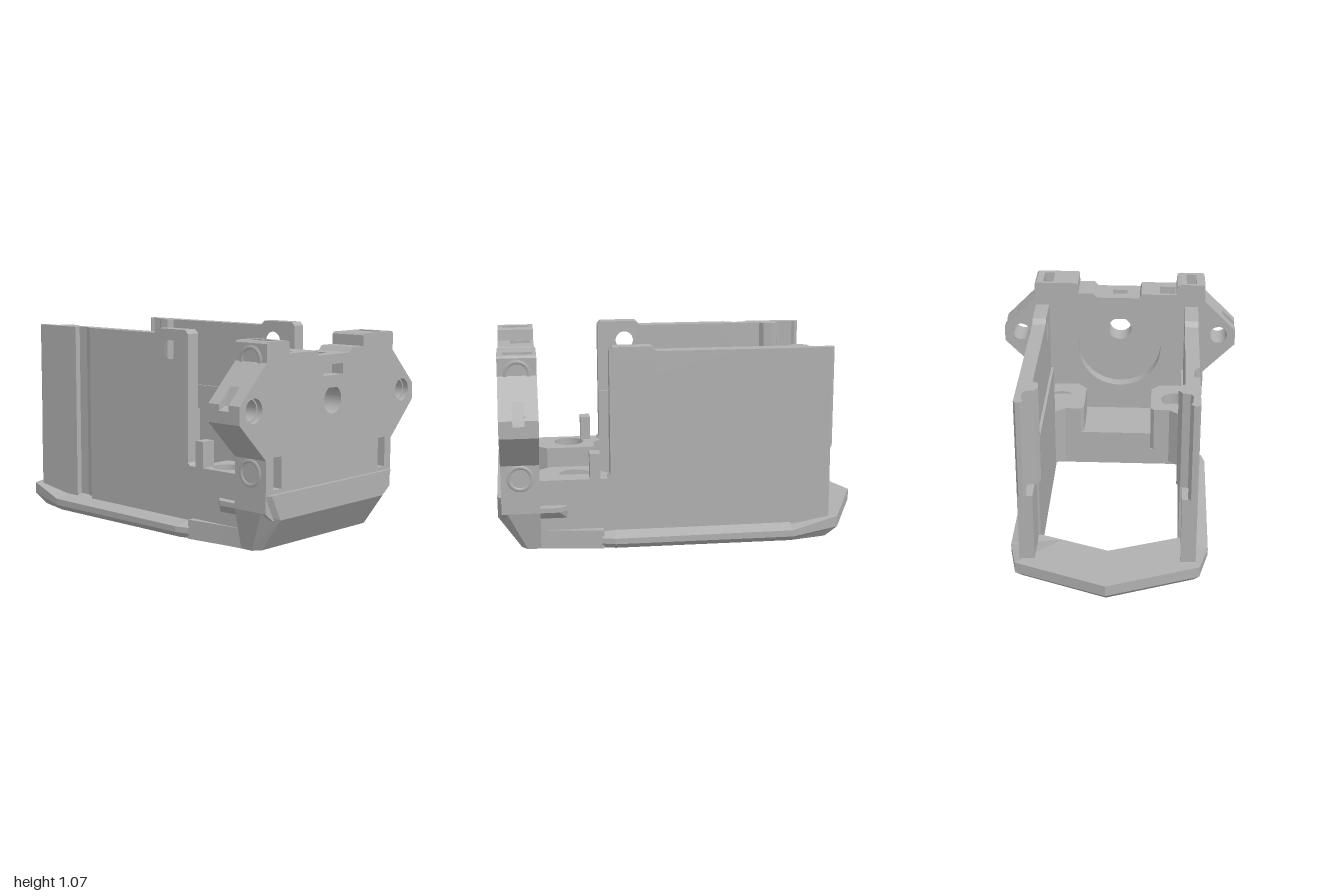
import * as THREE from 'three';
import { ConvexGeometry } from 'three/addons/geometries/ConvexGeometry.js';

const gray = new THREE.MeshStandardMaterial({ color: 0xb0b0b0 });
gray.name = 'plain gray';

const poly = (pts) => new THREE.Shape(pts.map(([x, y]) => new THREE.Vector2(x, y)));
const circle = (x, y, r) => new THREE.Path().absarc(x, y, r, 0, Math.PI * 2, true);
const rect = (x, y, w, h) => new THREE.Path(
  [[-1, -1], [-1, 1], [1, 1], [1, -1]].map(([a, b]) => new THREE.Vector2(x + a * w / 2, y + b * h / 2)));

function extrude(pts, holes, a, b) {
  const shape = poly(pts);
  shape.holes.push(...holes);
  const lo = Math.min(a, b);
  return new THREE.ExtrudeGeometry(shape, { depth: Math.abs(b - a), bevelEnabled: false, curveSegments: 28 })
    .translate(0, 0, lo);
}
// Extrude along x: points are [z, y]; holes use -z
const alongX = (pts, holes, a, b) => extrude(pts.map(([z, y]) => [-z, y]), holes, a, b).rotateY(Math.PI / 2);
// Extrude along y: points are [x, z]; holes use -z
const alongY = (pts, holes, a, b) => extrude(pts.map(([x, z]) => [x, -z]), holes, a, b).rotateX(-Math.PI / 2);
const hull = (pts) => new ConvexGeometry(pts.map((p) => new THREE.Vector3(...p)));

// U-shaped base rim lofted around the sides and pointed back
function baseRim() {
  // outer x, outer z, outer top y, chamfer y, bottom x, bottom z, inner x, inner bottom z, inner top z
  const half = [
    [0.51, 0.46, 0.06, 0.03, 0.48, 0.46, 0.37, 0.46, 0.46],
    [0.53, 0.39, 0.06, 0.03, 0.5, 0.39, 0.37, 0.39, 0.39],
    [0.53, -0.56, 0.065, 0.03, 0.5, -0.55, 0.37, -0.44, -0.54],
    [0.48, -0.81, 0.12, 0.06, 0.45, -0.75, 0.25, -0.49, -0.585],
    [0, -1, 0.12, 0.06, 0, -0.93, 0, -0.59, -0.68],
  ];
  const section = ([ox, oz, ty, cy, bx, bz, ix, ib, it], s) => [
    [s * ox, ty, oz], [s * ox, cy, oz], [s * bx, 0, bz], [s * ix, 0, ib], [s * ix, 0.12, it]];
  const rows = [...half.map((h) => section(h, 1)), ...half.slice(0, 4).reverse().map((h) => section(h, -1))];
  const pos = [];
  for (let i = 0; i < rows.length - 1; i++) {
    for (let j = 0; j < 5; j++) {
      const k = (j + 1) % 5;
      const [a, b, c, d] = [rows[i][j], rows[i + 1][j], rows[i][k], rows[i + 1][k]];
      pos.push(...a, ...c, ...b, ...b, ...c, ...d);
    }
  }
  const g = new THREE.BufferGeometry();
  g.setAttribute('position', new THREE.Float32BufferAttribute(pos, 3));
  g.computeVertexNormals();
  return g;
}

// Front plate outline with optional notches that form pockets across layers
function plateOutline({ pocket, tip, cavity, bore }) {
  const notch = (on, x0, x1, top, floor) => on ? [[x0, top], [x0, floor], [x1, floor], [x1, top]] : [];
  const wing = (s) => [[0.46, 0.17], [0.51, 0.21], [0.51, 0.47], [0.7, 0.66],
    ...(tip ? [[0.7, 0.72], [0.66, 0.74], [0.62, 0.83]] : [[0.7, 0.75]]),
    [0.51, 0.94]].map(([x, y]) => [s * x, y]);
  return [
    ...wing(1), [0.51, 1.03], [0.5, 1.04],
    ...notch(pocket, 0.46, 0.4, 1.04, 0.95),
    [0.26, 1.04], [0.25, 1.03], [0.25, 0.975], [0.16, 0.975], [0.135, 0.95],
    ...notch(bore, 0.045, -0.045, 0.95, 0.91),
    [-0.12, 0.95], [-0.13, 0.975],
    ...notch(cavity, -0.24, -0.335, 0.975, 0.8),
    [-0.34, 0.975], [-0.345, 1.035], [-0.37, 1.04],
    ...notch(pocket, -0.4, -0.46, 1.04, 0.95),
    [-0.5, 1.04], [-0.51, 1.03], ...wing(-1).reverse(),
  ];
}

// Round bore with a flattened top
function flatTopBore() {
  return new THREE.Path().absarc(0, 0.72, 0.07, Math.PI * 0.35, Math.PI * 0.65, true).closePath();
}

export function createModel() {
  const model = new THREE.Group();
  const add = (name, geometry, parent = model) => {
    const m = new THREE.Mesh(geometry, gray);
    m.name = name;
    parent.add(m);
    return m;
  };

  add('baseRim', baseRim());

  // Front floor with two screw holes
  add('frontFloor', alongY(
    [[-0.5, 0.45], [0.5, 0.45], [0.47, 0.68], [0.46, 0.8], [-0.46, 0.8], [-0.47, 0.68]],
    [circle(-0.345, -0.59, 0.045), circle(0.345, -0.59, 0.045)], 0, 0.1));
  add('centreFloor', new THREE.BoxGeometry(0.42, 0.12, 0.34).translate(0.01, 0.15, 0.62));

  // Sloped nose below the front plate
  const nose = [];
  for (const s of [1, -1]) {
    nose.push([s * 0.49, 0.3, 1], [s * 0.42, 0.17, 1], [s * 0.42, 0, 0.88], [s * 0.51, 0.3, 0.98],
      [s * 0.51, 0.21, 0.95], [s * 0.46, 0.165, 0.94], [s * 0.46, 0, 0.85], [s * 0.46, 0, 0.78],
      [s * 0.46, 0.165, 0.78], [s * 0.51, 0.21, 0.78], [s * 0.51, 0.3, 0.78]);
  }
  add('nose', hull(nose));

  // Front plate stacked from layers so pockets and slots are real
  const plate = new THREE.Group();
  plate.name = 'frontPlate';
  model.add(plate);
  const layers = [
    { z: [0.78, 0.8], recess: true },
    { z: [0.8, 0.85], recess: true, pocket: true, cavity: true },
    { z: [0.85, 0.91], pocket: true, cavity: true, tip: true, bore: true },
    { z: [0.91, 0.95], pocket: true, window: true },
    { z: [0.95, 0.98], window: true, wide: true },
  ];
  for (const l of layers) {
    const r = l.wide ? 0.06 : 0.052;
    const holes = [circle(-0.6, 0.72, r), circle(0.6, 0.72, r),
      l.recess ? circle(0, 0.62, 0.25) : flatTopBore()];
    if (l.window) {
      holes.push(rect(0, 0.872, 0.16, 0.055), rect(-0.425, 0.4, 0.06, 0.16), rect(0.425, 0.4, 0.06, 0.16));
    }
    add('plateLayer', extrude(plateOutline(l), holes, ...l.z), plate);
  }

  for (const s of [1, -1]) {
    const side = new THREE.Group();
    side.name = s > 0 ? 'leftSide' : 'rightSide';
    model.add(side);
    const mx = (pts) => pts.map(([x, z]) => [s * x, z]);

    // Front half of the wall, with raised ear and counterbored cross hole
    const wall = [[-0.3, 0.08], [0.45, 0.08], [0.45, 0.37], [0.425, 0.37], [0.41, 0.385], [0.41, 1.045],
      [0.39, 1.065], [0.19, 1.065], [0.165, 1.04], [-0.3, 1.04]];
    add('wallOuterSkin', alongX(wall, [circle(-0.255, 0.955, 0.088)], s * 0.43, s * 0.46), side);
    add('wallInnerSkin', alongX(wall, [circle(-0.255, 0.955, 0.05)], s * 0.385, s * 0.43), side);

    // Rear half of the wall, with guide rib; the right one has an outer groove
    const groove = s < 0 ? [[0.46, -0.34], [0.44, -0.36], [0.43, -0.4], [0.43, -0.46], [0.46, -0.46]] : [];
    add('wallRear', alongY(mx([[0.385, -0.3], [0.46, -0.3], ...groove, [0.46, -0.76], [0.45, -0.775],
      [0.425, -0.775], [0.41, -0.755], [0.42, -0.74], [0.425, -0.67], [0.41, -0.65], [0.37, -0.64],
      [0.35, -0.61], [0.355, -0.56], [0.385, -0.54]]), [], 0.5, 1.04), side);
    add('wallRearFoot', alongY(mx([[0.385, -0.3], [0.46, -0.3], ...groove, [0.46, -0.765],
      [0.38, -0.765]]), [], 0.08, 0.5), side);
    add('wallLedge', alongX([[-0.54, 0.08], [0.41, 0.08], [0.41, 0.66], [-0.54, 0.66]], [],
      s * 0.37, s * 0.386), side);

    // Screw block beside the floor, with counterbore
    const block = mx([[0.2, 0.47], [0.22, 0.45], [0.46, 0.45], [0.46, 0.8], [0.27, 0.8], [0.2, 0.72]]);
    add('screwBlock', alongY(block, [circle(s * 0.345, -0.59, 0.045)], 0.1, 0.3), side);
    add('screwBlockTop', alongY(block, [circle(s * 0.345, -0.59, 0.083)], 0.3, 0.37), side);
    add('cornerGusset', alongY(mx([[0.37, 0.4], [0.4, 0.4], [0.4, 0.46], [0.3, 0.46]]), [], 0.02, 0.37), side);
    add('post', new THREE.BoxGeometry(0.08, 0.15, 0.055).translate(s * 0.42, 0.43, 0.49), side);

    // Flared step joining nose and wall
    const flare = [];
    for (const [z, x] of [[0.64, 0.475], [0.68, 0.51], [0.94, 0.51]]) {
      flare.push([s * 0.42, 0.165, z], [s * 0.46, 0.165, z], [s * x, 0.21, z], [s * x, 0.235, z], [s * 0.42, 0.235, z]);
    }
    add('sideFlare', hull(flare), side);

    // Rims of the side sockets
    for (const y of [0.4, 0.95]) {
      const rim = new THREE.LatheGeometry(
        [[0.05, -0.01], [0.05, 0.004], [0.07, 0.004], [0.07, -0.01]]
          .map(([r, h]) => new THREE.Vector2(r, h)).reverse(), 28);
      rim.rotateZ(-s * Math.PI / 2).translate(s * 0.51, y, 0.88);
      const m = add('socketRim', rim, side);
      m.material = rimMaterial;
    }
  }
  return model;
}

// Same gray, seen from both sides for the open rims
const rimMaterial = gray.clone();
rimMaterial.side = THREE.DoubleSide;
